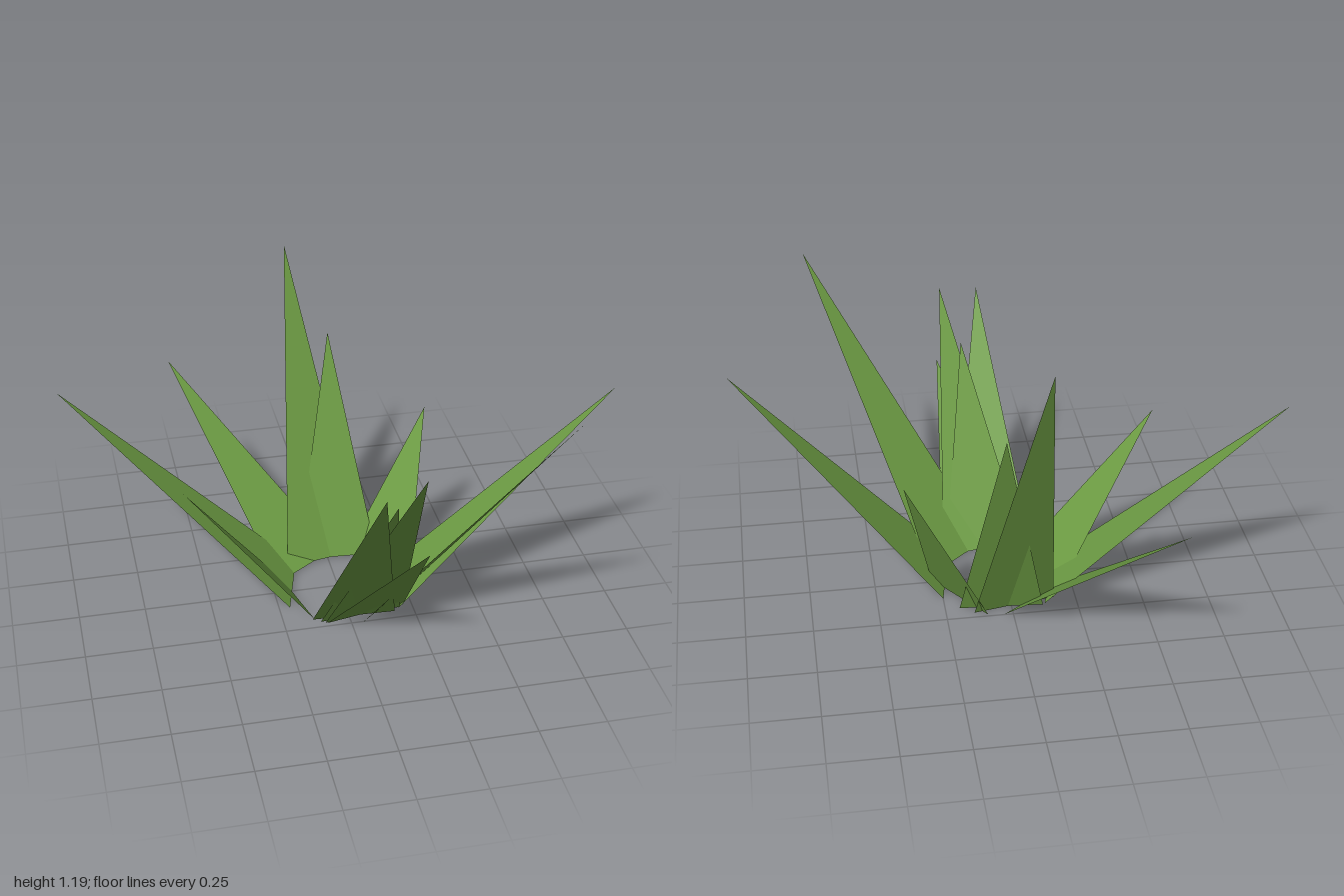
import * as THREE from 'three';

// Tip of every grass blade: x, y, z
const TIPS = [
  [-0.53, 0.64, -0.775], [-0.085, 1.19, -0.585], [0.055, 0.87, -0.45],
  [0.4, 0.6, -0.268], [1.0, 0.86, 0.178], [0.68, 1.075, 0.75],
  [0.17, 0.59, 0.71], [0.152, 0.9, 0.725], [0.085, 0.72, 0.597],
  [0.0, 0.87, 0.775], [-0.6, 0.6, 0.165], [-1.0, 0.825, -0.268],
];
const CENTRE = new THREE.Vector3(0.025, 0, 0.004); // middle of the tuft
const RING = 0.2;        // distance of each blade's foot from the middle
const HALF_WIDTH = 0.158; // half the width of a blade's foot

// One flat triangular blade, its foot square to the direction it leans in
function bladeGeometry([x, y, z]) {
  const tip = new THREE.Vector3(x, y, z);
  const out = new THREE.Vector3(x, 0, z).sub(CENTRE).normalize();
  const side = new THREE.Vector3(out.z, 0, -out.x).multiplyScalar(HALF_WIDTH);
  const foot = CENTRE.clone().addScaledVector(out, RING);
  const corners = [foot.clone().add(side), foot.clone().sub(side), tip];
  const geometry = new THREE.BufferGeometry().setFromPoints(corners);
  geometry.computeVertexNormals();
  return geometry;
}

export function createModel() {
  const group = new THREE.Group();
  group.name = 'grassTuft';
  const green = new THREE.MeshStandardMaterial({ color: 0x6f9f45, side: THREE.DoubleSide });
  green.name = 'grassGreen';
  TIPS.forEach((tip, i) => {
    const blade = new THREE.Mesh(bladeGeometry(tip), green);
    blade.name = `blade${i + 1}`;
    group.add(blade);
  });
  return group;
}
